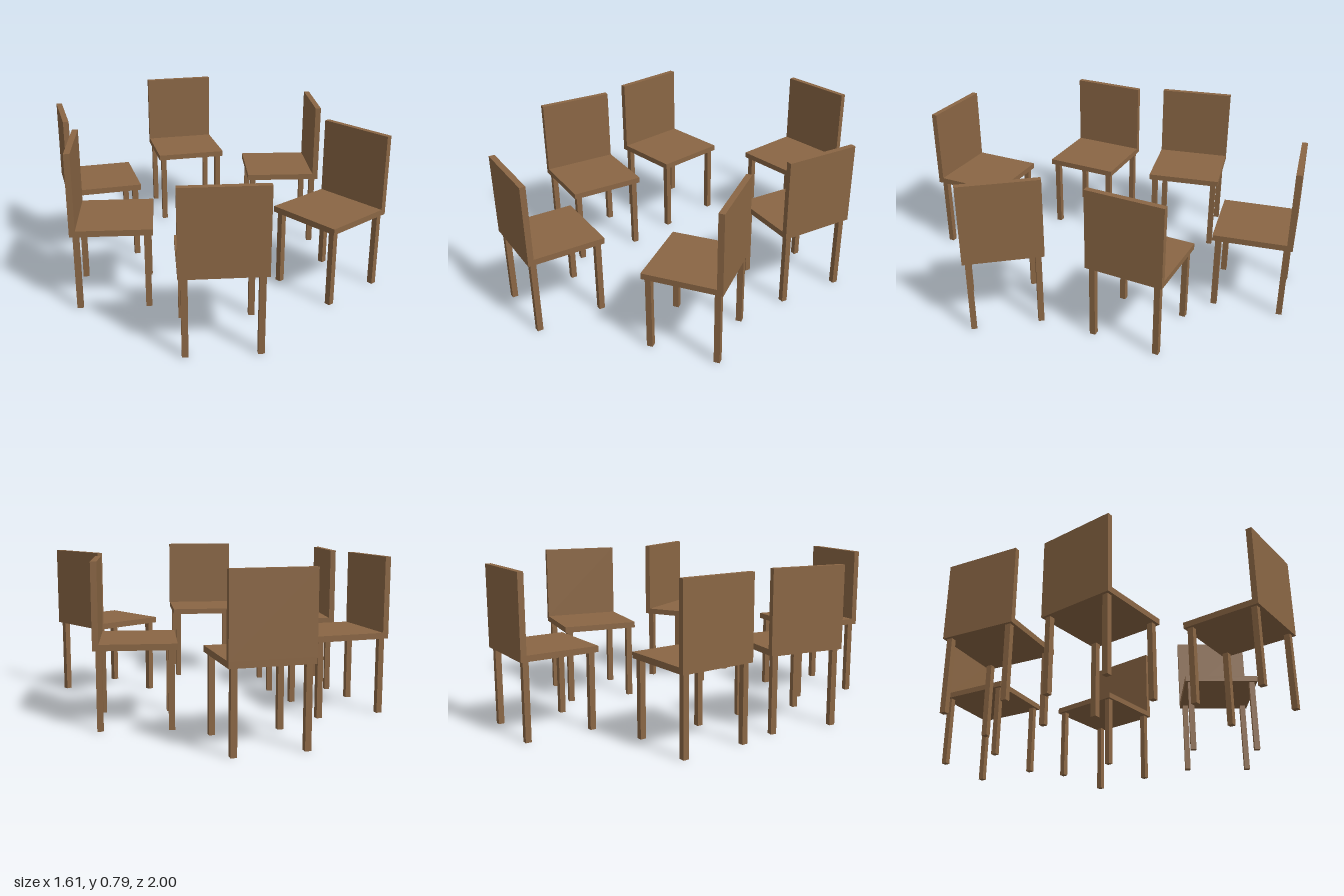
import * as THREE from 'three';

const SIZE = 0.391;      // square seat side
const SEAT_BOTTOM = 0.384;
const SEAT_TOP = 0.414;
const BACK_TOP = 0.793;
const BACK_DEPTH = 0.029;
const LEG = 0.029;       // square leg thickness
const LEG_OFFSET = 0.167;

// x, z and yaw of each chair in the ring; a chair faces its local +z
const PLACES = [
  [-0.041, -0.791, 0.071],
  [0.448, -0.331, -1.686],
  [0.534, 0.371, -1.011],
  [-0.098, 0.786, 3.058],
  [-0.541, 0.283, 1.471],
  [-0.588, -0.284, 1.676],
];

function box(name, material, w, h, d, x, y, z) {
  const mesh = new THREE.Mesh(new THREE.BoxGeometry(w, h, d), material);
  mesh.name = name;
  mesh.position.set(x, y, z);
  return mesh;
}

function createChair(wood) {
  const chair = new THREE.Group();

  // Seat slab and the upright panel standing on its rear edge
  const seatH = SEAT_TOP - SEAT_BOTTOM;
  const backH = BACK_TOP - SEAT_TOP;
  chair.add(box('seat', wood, SIZE, seatH, SIZE, 0, SEAT_BOTTOM + seatH / 2, 0));
  chair.add(box('backrest', wood, SIZE, backH, BACK_DEPTH,
    0, SEAT_TOP + backH / 2, -(SIZE - BACK_DEPTH) / 2));

  // Four legs, slightly inset from the corners
  for (const [sideName, sx] of [['Left', 1], ['Right', -1]]) {
    for (const [endName, sz] of [['front', 1], ['back', -1]]) {
      chair.add(box(`${endName}${sideName}Leg`, wood, LEG, SEAT_BOTTOM, LEG,
        sx * LEG_OFFSET, SEAT_BOTTOM / 2, sz * LEG_OFFSET));
    }
  }
  return chair;
}

export function createModel() {
  const wood = new THREE.MeshStandardMaterial({ color: 0x8a6644 });
  wood.name = 'brown wood';

  const model = new THREE.Group();
  model.name = 'chairRing';
  PLACES.forEach(([x, z, yaw], i) => {
    const chair = createChair(wood);
    chair.name = `chair${i + 1}`;
    chair.position.set(x, 0, z);
    chair.rotation.y = yaw;
    model.add(chair);
  });
  return model;
}
